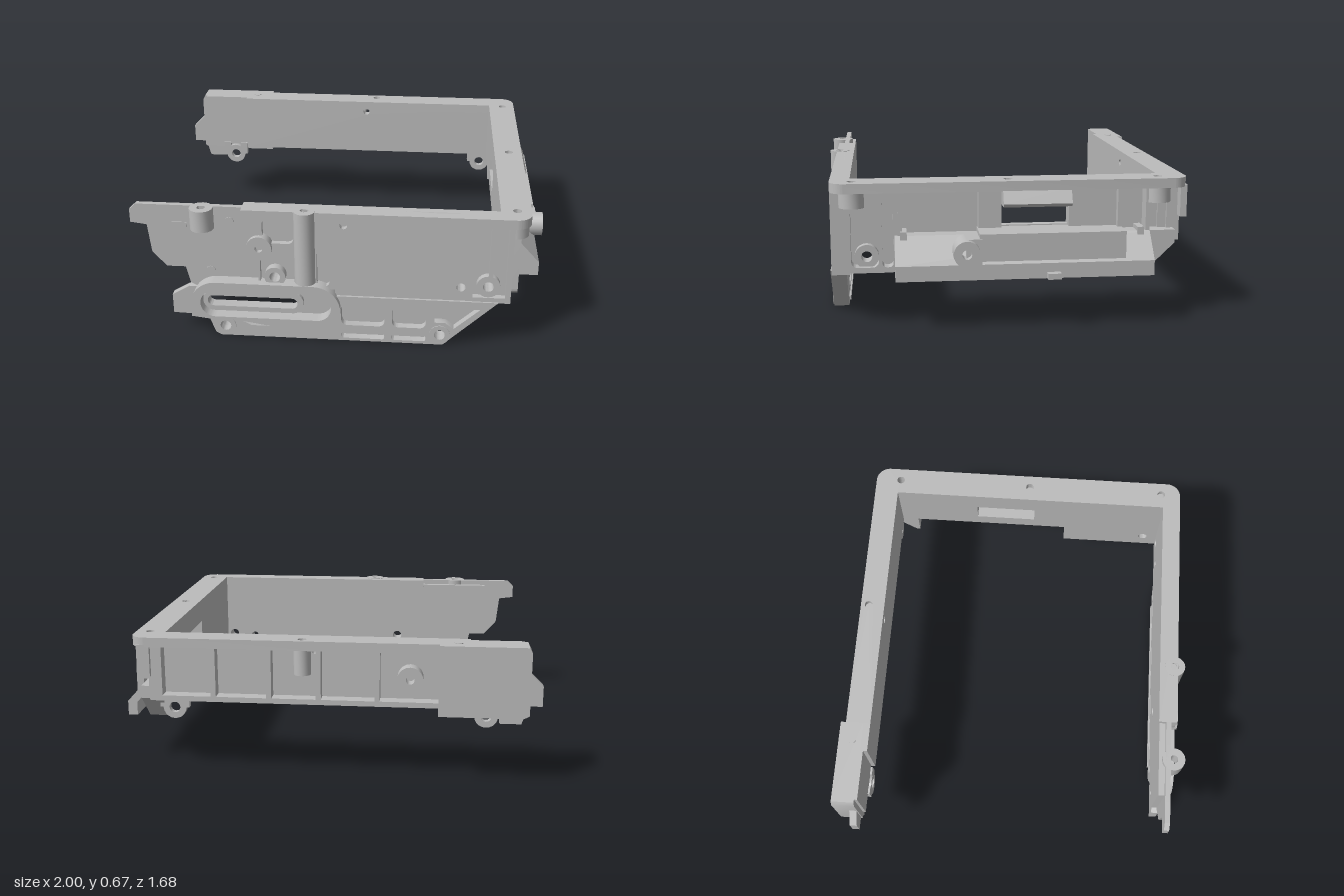
import * as THREE from 'three';
import { toCreasedNormals } from 'three/addons/utils/BufferGeometryUtils.js';

const metal = new THREE.MeshStandardMaterial({ color: 0xbcbcbc });
metal.name = 'grey metal';

const circle = (x, y, r) => new THREE.Path().absarc(x, y, r, 0, Math.PI * 2, true);
const toPath = (pts, P = THREE.Path) => new P(pts.map(p => new THREE.Vector2(p[0], p[1])));
const rectPts = (x0, y0, x1, y1) => [[x0, y0], [x1, y0], [x1, y1], [x0, y1]];

// rounded rectangle outline; also serves for slots
function rounded(x0, y0, x1, y1, r, P = THREE.Path) {
  const p = new P(), h = Math.PI / 2;
  p.absarc(x1 - r, y0 + r, r, -h, 0, false);
  p.absarc(x1 - r, y1 - r, r, 0, h, false);
  p.absarc(x0 + r, y1 - r, r, h, 2 * h, false);
  p.absarc(x0 + r, y0 + r, r, 2 * h, 3 * h, false);
  p.closePath();
  return p;
}

export function createModel() {
  const model = new THREE.Group();
  model.name = 'frame';
  const add = (name, geo) => {
    const m = new THREE.Mesh(geo, metal);
    m.name = name;
    model.add(m);
  };
  // outline extruded from a to b along the axis: z = (x,y), x = (-z,y), y = (x,-z)
  function extrude(name, outline, holes, a, b, axis = 'z') {
    const s = Array.isArray(outline) ? toPath(outline, THREE.Shape) : outline;
    s.holes = holes;
    const g = new THREE.ExtrudeGeometry(s, { depth: b - a, bevelEnabled: false, curveSegments: 10 });
    g.translate(0, 0, a);
    if (axis === 'x') g.rotateY(Math.PI / 2);
    if (axis === 'y') g.rotateX(-Math.PI / 2);
    add(name, toCreasedNormals(g, 0.7));
  }
  function box(name, x0, x1, y0, y1, z0, z1) {
    const g = new THREE.BoxGeometry(x1 - x0, y1 - y0, z1 - z0);
    add(name, g.translate((x0 + x1) / 2, (y0 + y1) / 2, (z0 + z1) / 2));
  }
  function ring(name, u, v, R, r, a, b, axis = 'z') {
    const s = new THREE.Shape().absarc(u, v, R, 0, Math.PI * 2, false);
    extrude(name, s, r ? [circle(u, v, r)] : [], a, b, axis);
  }

  // ---- top flange, a U open to the model's right
  const flange = new THREE.Shape();
  flange.moveTo(-0.53, 0.70);
  flange.lineTo(0.75, 0.70);
  flange.lineTo(0.75, -0.71);
  flange.lineTo(-0.43, -0.71);
  flange.lineTo(-0.43, -0.80);
  flange.lineTo(0.82, -0.80);
  flange.absarc(0.82, -0.73, 0.07, -Math.PI / 2, 0, false);
  flange.absarc(0.82, 0.75, 0.07, 0, Math.PI / 2, false);
  flange.lineTo(-0.53, 0.82);
  extrude('topFlange', flange, [[0.825, 0.69], [0.825, -0.70], [0.825, 0], [0.095, 0.78], [-0.14, -0.775]]
    .map(p => circle(p[0], p[1], 0.02)), 0.62, 0.665, 'y');
  for (const v of [0.69, -0.70]) ring('cornerBoss', 0.825, v, 0.06, 0.02, 0.55, 0.62, 'y');
  ring('backBoss', 0.095, 0.775, 0.04, 0, 0.50, 0.64, 'y');

  // ---- front wall: thin inner plate with slot and screw holes
  const through = [[-0.28, 0.33, 0.025], [0.585, 0.31, 0.021], [0.71, 0.32, 0.025]];
  extrude('frontUpperWall', [[-0.925, 0.665], [-0.957, 0.635], [-0.957, 0.57], [-0.88, 0.56], [-0.865, 0.42],
    [-0.80, 0.345], [-0.71, 0.345], [-0.69, 0.26], [-0.64, 0.235], [0.81, 0.235], [0.81, 0.62], [0.7, 0.665]],
    through.map(h => circle(...h)), 0.745, 0.77);
  extrude('frontInnerSkin', [[-0.79, 0.64], [-0.79, 0.35], [-0.71, 0.35], [-0.69, 0.26], [-0.24, 0.235], [0.79, 0.235],
    [0.79, 0.64]], through.map(h => circle(...h)), 0.715, 0.745);
  extrude('frontLowerWall', [[-0.70, 0.24], [-0.785, 0.19], [-0.785, 0.09], [-0.60, 0.085], [-0.575, 0.015],
    [-0.55, 0], [0.51, 0], [0.76, 0.24]],
    [rounded(-0.61, 0.15, -0.18, 0.205, 0.027), circle(-0.525, 0.055, 0.026), circle(0.495, 0.055, 0.026)], 0.735, 0.77);

  // raised front panel with pockets
  extrude('frontPanel', [[-0.43, 0.62], [-0.43, 0.58], [-0.36, 0.40], [-0.36, 0.27], [0, 0.27], [0, 0.235],
    [0.64, 0.235], [0.64, 0.36], [0.70, 0.40], [0.70, 0.64], [0, 0.655], [-0.43, 0.655]],
    [rounded(-0.335, 0.50, -0.19, 0.625, 0.03), rounded(-0.35, 0.275, -0.19, 0.47, 0.03),
      rounded(-0.085, 0.285, -0.025, 0.47, 0.025), circle(0.585, 0.31, 0.021), circle(0.04, 0.605, 0.018)], 0.77, 0.797);
  ring('panelBoss', -0.35, 0.48, 0.06, 0.018, 0.77, 0.82);
  ring('panelBoss', -0.28, 0.33, 0.05, 0.025, 0.77, 0.81);
  ring('cornerScrewBoss', 0.71, 0.32, 0.055, 0.025, 0.77, 0.80);
  box('cornerRib', 0.71, 0.73, 0.37, 0.63, 0.77, 0.80);
  box('cornerRib', 0.79, 0.815, 0.235, 0.63, 0.715, 0.80);
  box('wallFoot', 0.64, 0.81, 0.235, 0.262, 0.77, 0.80);
  ring('smallStud', -0.49, 0.595, 0.02, 0, 0.77, 0.774);
  ring('smallStud', -0.59, 0.33, 0.024, 0, 0.77, 0.774);
  box('wallKey', -0.765, -0.69, 0.555, 0.58, 0.77, 0.774);

  // upright pins on the front wall
  ring('longPin', -0.14, -0.785, 0.05, 0.02, 0.28, 0.667, 'y');
  ring('shortPin', -0.615, -0.785, 0.055, 0.02, 0.56, 0.665, 'y');

  // rim around the slot, cut away above the lower screw
  const slotRim = new THREE.Shape();
  slotRim.moveTo(-0.44, 0.045);
  slotRim.absarc(-0.1, 0.173, 0.128, -Math.PI / 2, Math.PI / 2, false);
  slotRim.absarc(-0.56, 0.181, 0.12, Math.PI / 2, Math.PI, false);
  slotRim.lineTo(-0.68, 0.115);
  slotRim.lineTo(-0.60, 0.105);
  slotRim.lineTo(-0.47, 0.105);
  extrude('slotRim', slotRim, [rounded(-0.635, 0.118, -0.015, 0.258, 0.069)], 0.77, 0.837);
  extrude('slotLip', rounded(-0.632, 0.125, -0.15, 0.235, 0.054, THREE.Shape),
    [rounded(-0.61, 0.15, -0.18, 0.205, 0.027)], 0.77, 0.79);

  // lower rim with pockets
  extrude('lowerRim', [[-0.60, 0.085], [-0.575, 0.015], [-0.55, 0], [0.51, 0], [0.76, 0.24], [0, 0.24], [0, 0.10],
    [-0.05, 0.06], [-0.4, 0.06], [-0.5, 0.11]],
    [circle(-0.525, 0.055, 0.026), circle(0.495, 0.055, 0.026), rounded(0.03, 0.085, 0.235, 0.20, 0.03),
      rounded(0.27, 0.085, 0.43, 0.20, 0.03), rounded(0.03, 0.014, 0.235, 0.045, 0.012), rounded(0.27, 0.014, 0.43, 0.045, 0.012),
      toPath([[0.47, 0.12], [0.52, 0.12], [0.56, 0.09], [0.68, 0.20], [0.47, 0.20]])], 0.77, 0.808);
  for (const x of [-0.525, 0.495]) ring('lowerScrewBoss', x, 0.055, 0.05, 0.026, 0.77, 0.812);
  // rails inside the lower wall
  box('innerRail', -0.70, 0.70, 0.205, 0.235, 0.722, 0.745);
  box('innerRail', -0.48, 0.44, 0.085, 0.105, 0.728, 0.745);
  box('innerRail', -0.5, 0.45, 0.01, 0.03, 0.728, 0.745);

  // ---- back wall
  extrude('backWall', [[-0.67, 0.36], [0.80, 0.36], [0.80, 0.64], [-0.67, 0.64]],
    [circle(0.04, 0.605, 0.018)], -0.74, -0.70);
  box('backLowerRail', -0.53, 0.81, 0.36, 0.385, -0.80, -0.74);
  for (const x of [0.80, 0.51, 0.25, 0.02, -0.25]) box('backRib', x - 0.012, x + 0.012, 0.37, 0.63, -0.80, -0.74);
  ring('backSideBoss', -0.40, 0.49, 0.06, 0.02, -0.80, -0.74);
  for (const x of [-0.75, 0.71]) {
    ring('backScrewBoss', x, 0.31, 0.055, 0.026, -0.74, -0.71);
    for (const s of [-1, 1]) box('bossWeb', x + s * 0.05 - 0.02, x + s * 0.05 + 0.02, 0.31, 0.38, -0.74, -0.71);
  }

  // end block of the back arm
  extrude('endBlock', [[-0.925, 0.665], [-0.938, 0.64], [-0.938, 0.35], [-0.91, 0.335], [-0.53, 0.335], [-0.53, 0.665]],
    [], -0.845, -0.735);
  box('endBlockInner', -0.67, -0.53, 0.36, 0.665, -0.735, -0.70);
  box('endBlockStep', -0.91, -0.67, 0.37, 0.665, -0.735, -0.72);
  extrude('endTongue', [[-0.93, 0.54], [-1, 0.47], [-1, 0.375], [-0.93, 0.375]], [], -0.775, -0.74);
  extrude('endFoot', [[-0.935, 0.375], [-0.91, 0.285], [-0.81, 0.285], [-0.81, 0.345], [-0.53, 0.345], [-0.53, 0.375]],
    [], -0.765, -0.74);
  ring('topScrew', -0.615, 0.78, 0.02, 0, 0.66, 0.668, 'y');

  // ---- side wall joining both arms, with window
  extrude('sideWall', [[-0.77, 0.235], [-0.2, 0.235], [-0.2, 0.375], [0.77, 0.375], [0.77, 0.64], [-0.77, 0.64]],
    [toPath(rectPts(-0.03, 0.445, 0.28, 0.55)), circle(-0.64, 0.32, 0.025)], 0.75, 0.79, 'x');
  ring('sideScrewBoss', -0.64, 0.32, 0.055, 0.025, 0.79, 0.825, 'x');
  extrude('sidePocketRim', rounded(-0.74, 0.25, -0.50, 0.64, 0.03, THREE.Shape),
    [rounded(-0.71, 0.275, -0.585, 0.55, 0.03), rounded(-0.57, 0.275, -0.52, 0.62, 0.02)], 0.79, 0.85, 'x');
  for (const z of [0.49, -0.51, -0.64]) box('sideRib', 0.79, 0.86, 0.40, 0.63, z - 0.01, z + 0.01);
  for (const [z0, z1] of [[0.03, 0.135], [-0.5, -0.28]]) box('sidePad', 0.79, 0.825, 0.43, 0.63, z0, z1);
  for (const z of [0.475, -0.605]) box('sideKey', 0.79, 0.875, 0.40, 0.44, z - 0.015, z + 0.015);
  extrude('windowHood', [[0.78, 0.55], [0.91, 0.55], [0.92, 0.565], [0.885, 0.63], [0.78, 0.63]], [], -0.28, 0.03);
  box('cornerTab', 0.80, 0.86, 0.48, 0.63, -0.82, -0.79);
  box('cornerPost', 0.75, 0.80, 0.36, 0.63, -0.80, -0.70);

  // sloped ledge along the side wall, hollow underneath
  extrude('sideLedge', [[0.92, 0.235], [0.965, 0.235], [0.965, 0.305], [0.86, 0.42], [0.77, 0.42], [0.77, 0.375],
    [0.85, 0.375], [0.92, 0.30]], [], -0.65, 0.515);
  extrude('ledgeEnd', [[0.77, 0.235], [0.965, 0.235], [0.965, 0.305], [0.86, 0.42], [0.77, 0.42]], [], 0.485, 0.515);
  box('ledgeBlockTop', 0.78, 0.955, 0.38, 0.44, -0.52, 0.14);
  box('ledgeBlockFace', 0.92, 0.955, 0.315, 0.38, -0.52, 0.14);
  extrude('ledgeGusset', [[0.62, 0.235], [0.64, 0.235], [0.77, 0.36], [0.77, 0.42], [0.62, 0.42]], [], 0.76, 0.86, 'x');
  ring('ledgePin', -0.20, 0.36, 0.06, 0.022, 0.80, 1.0, 'x');
  box('pinWeb', 0.85, 0.965, 0.30, 0.42, 0.13, 0.20);
  box('ledgeTab', 0.93, 1.0, 0.237, 0.264, -0.22, -0.16);

  return model;
}
